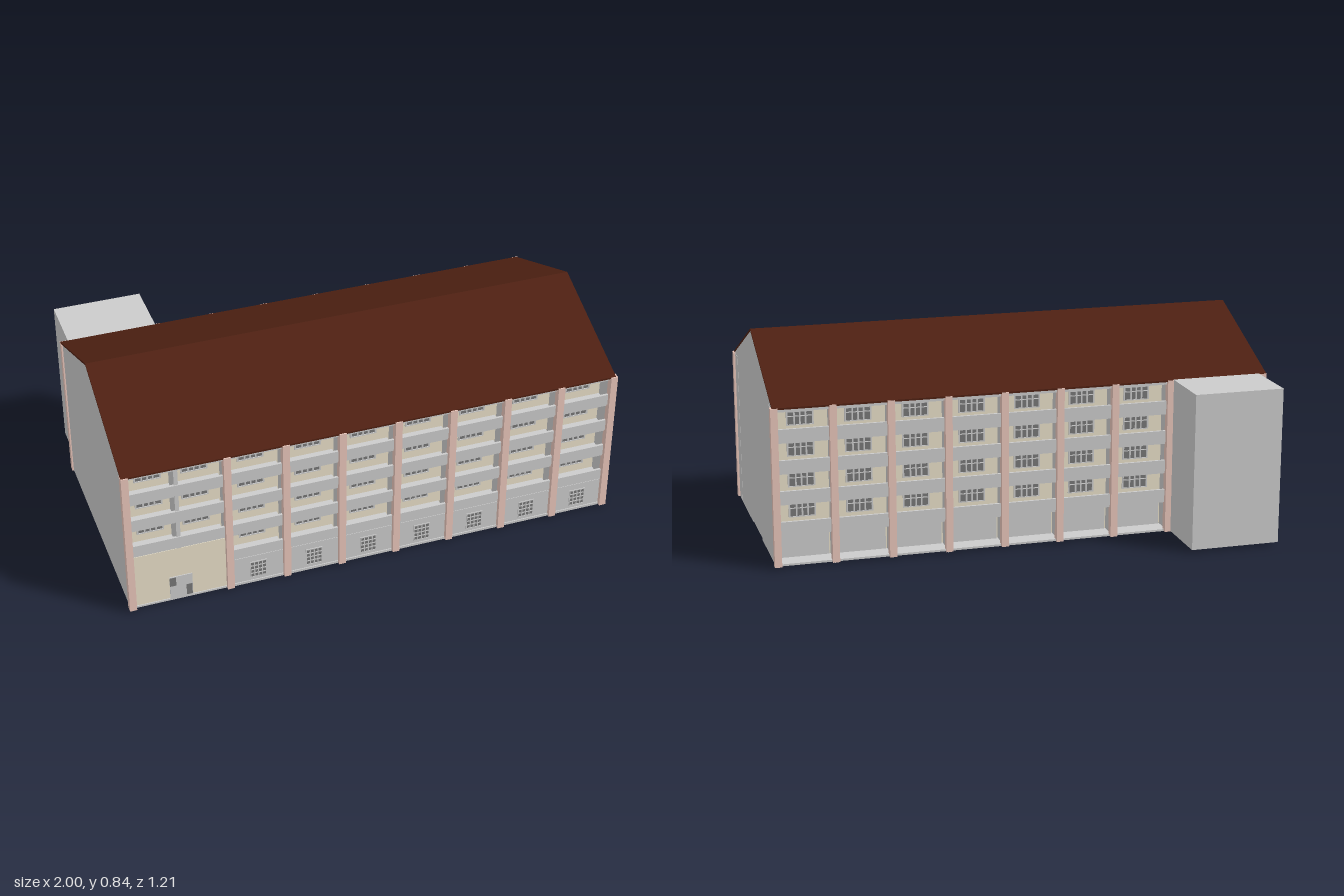
import * as THREE from 'three';

const mat = (color) => new THREE.MeshStandardMaterial({ color, side: THREE.DoubleSide });

export function createModel() {
  const root = new THREE.Group();
  root.name = 'apartmentBlock';
  const grey = mat(0xcccccc), beige = mat(0xe8dfc8), pink = mat(0xe8c5ba);
  const brown = mat(0x4e2012), dark = mat(0x777777);

  // Box given by its minimum and maximum corners
  function box(name, m, x0, x1, y0, y1, z0, z1, parent = root) {
    const mesh = new THREE.Mesh(new THREE.BoxGeometry(x1 - x0, y1 - y0, z1 - z0), m);
    mesh.position.set((x0 + x1) / 2, (y0 + y1) / 2, (z0 + z1) / 2);
    mesh.name = name;
    parent.add(mesh);
    return mesh;
  }

  // Polygon of [z, y] points extruded along x
  function alongX(name, m, points, x0, x1) {
    const shape = new THREE.Shape(points.map(([z, y]) => new THREE.Vector2(-z, y)));
    const geo = new THREE.ExtrudeGeometry(shape, { depth: x1 - x0, bevelEnabled: false });
    geo.rotateY(Math.PI / 2);
    geo.translate(x0, 0, 0);
    const mesh = new THREE.Mesh(geo, m);
    mesh.name = name;
    root.add(mesh);
  }

  const FRONT = 0.59, BACK = -0.352, DEPTH = 0.08, RIDGE_Z = 0.118, EAVE = 0.63, RIDGE = 0.83;
  const roofY = (z) => RIDGE - (RIDGE - EAVE) * Math.abs(z - RIDGE_Z) / 0.48;
  const columns = [-0.985, -0.595, -0.365, -0.14, 0.085, 0.31, 0.535, 0.76, 0.985];
  const floors = [0.14, 0.262, 0.384, 0.506]; // underside of each balcony parapet

  // Inner core, gable walls, roof and ground slab
  const zf = FRONT - DEPTH, zb = BACK + DEPTH;
  alongX('core', beige, [[zf, 0.015], [zf, roofY(zf)], [RIDGE_Z, RIDGE], [zb, roofY(zb)], [zb, 0.015]], -0.98, 0.98);
  const gable = [[FRONT, 0.01], [FRONT, roofY(FRONT)], [RIDGE_Z, RIDGE], [BACK, roofY(BACK)], [BACK, 0.01]];
  alongX('gableWallRight', grey, gable, -0.993, -0.975);
  alongX('gableWallLeft', grey, gable, 0.972, 0.99);
  alongX('roof', brown, [[0.598, EAVE], [0.598, EAVE + 0.007], [RIDGE_Z, RIDGE + 0.008],
    [-0.362, EAVE + 0.007], [-0.362, EAVE], [RIDGE_Z, RIDGE]], -0.998, 0.992);
  box('groundSlab', grey, -0.985, 0.985, 0.008, 0.016, BACK, FRONT);
  box('stairTower', grey, -0.967, -0.605, 0.01, 0.638, -0.607, zb);

  // Balcony window with frame, casements and a transom; dir is the outward z direction
  function balconyWindow(x, y, z, dir) {
    const g = new THREE.Group();
    g.name = 'balconyWindow';
    const w = 0.1, h = 0.052, t = 0.003;
    box('pane', dark, -w / 2, w / 2, 0, h, 0, 0.002, g);
    for (const px of [-w / 2, -0.022, 0, 0.022, w / 2]) box('mullion', grey, px - t, px + t, 0, h, 0, 0.006, g);
    for (const py of [0, 0.034, h]) box('transom', grey, -w / 2 - t, w / 2 + t, py - t / 2, py + t / 2, 0, 0.006, g);
    g.position.set(x, y, z);
    if (dir < 0) g.rotation.y = Math.PI;
    root.add(g);
  }

  // Lattice window in the ground floor wall
  function latticeWindow(x) {
    const g = new THREE.Group();
    g.name = 'latticeWindow';
    box('pane', dark, -0.032, 0.032, 0.03, 0.103, 0, 0.001, g);
    for (let i = 0; i <= 4; i++) {
      const px = -0.032 + i * 0.016, py = 0.03 + i * 0.01825;
      box('verticalBar', grey, px - 0.002, px + 0.002, 0.028, 0.105, 0, 0.003, g);
      box('horizontalBar', grey, -0.034, 0.034, py - 0.002, py + 0.002, 0, 0.003, g);
    }
    g.position.set(x, 0, FRONT - 0.004);
    root.add(g);
  }

  // Both long sides: pillars, balconies, cross walls, eaves beams
  for (const dir of [1, -1]) {
    const face = dir > 0 ? FRONT : BACK;
    const wall = face - dir * DEPTH;
    // Box spanning depths a..b measured inward from the facade
    const inset = (name, m, x0, x1, y0, y1, a, b) => {
      const p = face - dir * a, q = face - dir * b;
      box(name, m, x0, x1, y0, y1, Math.min(p, q), Math.max(p, q));
    };
    for (const x of columns) {
      inset('pillar', pink, x - 0.014, x + 0.014, 0.008, 0.636, -0.013, 0.015);
      inset('crossWall', grey, x - 0.006, x + 0.006, 0.012, 0.63, 0.002, DEPTH);
    }
    for (let i = 0; i < 8; i++) {
      const wide = i === 0;
      if (wide && dir < 0) continue; // covered by the stair tower
      const x0 = columns[i] + 0.012, x1 = columns[i + 1] - 0.012, mid = (x0 + x1) / 2;
      inset('eavesBeam', grey, x0, x1, 0.617, 0.632, 0.002, 0.014);
      floors.forEach((y, k) => {
        if (wide && k === 0) return;
        inset('balconyFloor', grey, x0, x1, y - 0.012, y, 0.006, DEPTH);
        inset('balconyParapet', grey, x0 + 0.003, x1 - 0.003, y - 0.002, y + 0.044, 0, 0.01);
        for (const wx of wide ? [mid - 0.09, mid + 0.09] : [mid]) balconyWindow(wx, y + 0.038, wall, dir);
      });
      if (wide) {
        inset('balconyDivider', grey, mid - 0.008, mid + 0.008, 0.25, 0.63, 0.004, DEPTH);
        inset('entranceWall', beige, x0, x1, 0.01, 0.25, 0.004, DEPTH);
      } else if (dir > 0) {
        inset('groundWall', grey, x0, x1, 0.002, 0.132, 0.004, DEPTH);
        latticeWindow(mid);
      } else {
        inset('groundWall', grey, x0, x1, 0.012, 0.13, DEPTH - 0.006, DEPTH);
      }
    }
  }

  // Entrance door
  const door = new THREE.Group();
  door.name = 'entranceDoor';
  box('doorLeaf', grey, -0.835, -0.745, 0.014, 0.118, FRONT - 0.004, FRONT, door);
  box('doorUpperPane', dark, -0.835, -0.81, 0.075, 0.115, FRONT, FRONT + 0.001, door);
  box('doorLowerPane', dark, -0.77, -0.747, 0.02, 0.07, FRONT, FRONT + 0.001, door);
  root.add(door);

  // Feet of the partition walls under the slab
  for (const x of columns.slice(1)) {
    box('frontPartitionFoot', grey, x - 0.004, x + 0.004, 0, 0.01, 0.24, 0.58);
    box('backPartitionFoot', grey, x - 0.004, x + 0.004, 0, 0.01, -0.345, 0);
  }
  box('corridorWallFoot', grey, -0.6, 0.985, 0, 0.01, -0.008, 0);

  return root;
}
